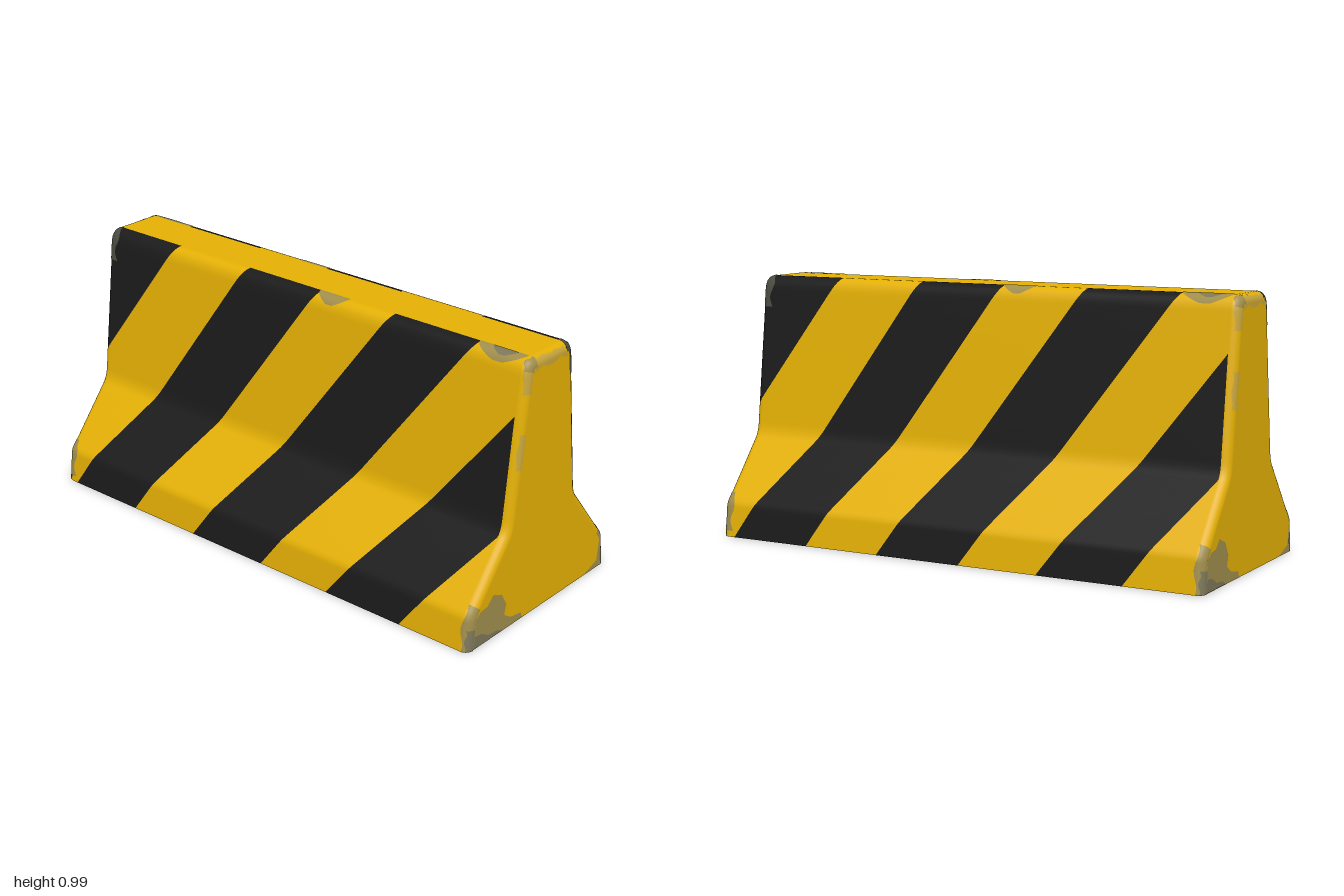
import * as THREE from 'three';

const mat = (name, color, side = THREE.FrontSide) => {
  const m = new THREE.MeshStandardMaterial({ color, side });
  m.name = name;
  return m;
};
const { lerp, clamp } = THREE.MathUtils;

const ROWS = 120, FLAT = 0.968, R = 0.032, UMAX = FLAT + R * Math.PI / 2;

// Half of the cross-section as (z, y), from the foot to the middle of the top
const profile = new THREE.Path();
profile.moveTo(0.42, 0);
profile.lineTo(0.408, 0.115);
profile.quadraticCurveTo(0.406, 0.132, 0.392, 0.148);
profile.lineTo(0.22, 0.36);
profile.quadraticCurveTo(0.205, 0.378, 0.2, 0.41);
profile.lineTo(0.137, 0.93);
profile.quadraticCurveTo(0.13, 0.985, 0.088, 0.985);
profile.lineTo(0, 0.985);

// Stripe edges along x at the foot and at the rim; black and yellow alternate
const FOOT = [-1.67, -1.33, -0.945, -0.612, -0.298, 0.051, 0.367, 0.703, 1.05];
const RIM = [-1.0, -0.645, -0.286, 0.067, 0.404, 0.773, 1.12, 1.43, 1.75];
const RIM_T = 0.926, TOP = 0.985;

// Point and normal on the skin: t runs up the profile, u along x and round the end bevels
function skin(t, u, lift = 0) {
  const p = profile.getPoint(t), g = profile.getTangent(t);
  const a = Math.max(0, Math.abs(u) - FLAT) / R, sx = Math.sign(u);
  const inset = R * (1 - Math.cos(a));
  const n = new THREE.Vector3(sx * Math.sin(a), -g.x * Math.cos(a), g.y * Math.cos(a));
  const x = a > 0 ? sx * (FLAT + R * Math.sin(a)) : u;
  const v = new THREE.Vector3(x, Math.max(0, p.y + g.x * inset), p.x - g.y * inset);
  return { v: v.addScaledVector(n, lift), n };
}

// Collects quads on the skin into one smooth geometry
class Patch {
  constructor() { this.pos = []; this.nor = []; }
  quad(t0, t1, a0, b0, a1, b1, lift) {
    if (b0 - a0 < 1e-6 && b1 - a1 < 1e-6) return;
    const c = [skin(t0, a0, lift), skin(t0, b0, lift), skin(t1, b1, lift), skin(t1, a1, lift)];
    for (const i of [0, 1, 2, 0, 2, 3]) {
      this.pos.push(...c[i].v.toArray());
      this.nor.push(...c[i].n.toArray());
    }
  }
  geometry() {
    const g = new THREE.BufferGeometry();
    g.setAttribute('position', new THREE.Float32BufferAttribute(this.pos, 3));
    g.setAttribute('normal', new THREE.Float32BufferAttribute(this.nor, 3));
    return g;
  }
}

// Splits one long side into yellow and black skin; the stripes run straight in x and y
function buildSide() {
  const yellow = new Patch(), black = new Patch();
  const bevel = [1, 2, 3, 4, 5].map(i => FLAT + (UMAX - FLAT) * i / 5);
  const breaks = [...bevel.map(b => -b).reverse(), -FLAT, FLAT, ...bevel];
  for (let j = 0; j < ROWS; j++) {
    const t0 = j / ROWS, t1 = (j + 1) / ROWS;
    const h0 = profile.getPoint(t0).y / TOP, h1 = profile.getPoint(t1).y / TOP;
    for (let i = 0; i + 1 < breaks.length; i++) {
      const a = breaks[i], b = breaks[i + 1];
      if (t1 > RIM_T || a < -1.01 || b > 0.975) {
        yellow.quad(t0, t1, a, b, a, b);
        continue;
      }
      for (let k = 0; k + 1 < FOOT.length; k++) {
        const edge = (e, h) => clamp(lerp(FOOT[e], RIM[e], h), a, b);
        const patch = k % 2 ? yellow : black;
        patch.quad(t0, t1, edge(k, h0), edge(k + 1, h0), edge(k, h1), edge(k + 1, h1));
      }
    }
  }
  return { yellow: yellow.geometry(), black: black.geometry() };
}

// Thin worn patches; an end patch has a wavy inner edge, a rim patch tapers downwards
function buildWear(lift, list) {
  const patch = new Patch(), N = 12, M = 8;
  for (const [u0, u1, t0, t1] of list) {
    const ends = f => {
      const w = u1 - u0, wave = w * (0.12 + 0.12 * Math.sin(f * 9 + u0 * 7));
      if (u1 === UMAX) return [u0 + wave, u1];
      if (u0 === -UMAX) return [u0, u1 - wave];
      const taper = w * 0.4 * (1 - f) ** 2;
      return [u0 + taper, u1 - taper];
    };
    for (let j = 0; j < M; j++) {
      const f0 = j / M, f1 = (j + 1) / M, e0 = ends(f0), e1 = ends(f1);
      for (let i = 0; i < N; i++) {
        patch.quad(lerp(t0, t1, f0), lerp(t0, t1, f1), lerp(...e0, i / N), lerp(...e0, (i + 1) / N),
          lerp(...e1, i / N), lerp(...e1, (i + 1) / N), lift);
      }
    }
  }
  return patch.geometry();
}

export function createModel() {
  const root = new THREE.Group();
  root.name = 'roadBarrier';
  const yellow = mat('yellow paint', 0xe4b004);
  const black = mat('black paint', 0x1b1b1b);
  const faded = mat('faded yellow', 0xc7a53c, THREE.DoubleSide);
  const worn = mat('worn paint', 0xa08e4c, THREE.DoubleSide);
  const grime = mat('bare concrete', 0x7c765a, THREE.DoubleSide);
  const grey = mat('scuffed black', 0x4a4c40, THREE.DoubleSide);

  const add = (parent, name, geo, material) => {
    const m = new THREE.Mesh(geo, material);
    m.name = name;
    parent.add(m);
    return m;
  };

  // Scuffs on the end face, drawn as (-z, y)
  const scuff = pts => new THREE.ShapeGeometry(
    new THREE.Shape(pts.map(p => new THREE.Vector2(...p)))).rotateY(Math.PI / 2);

  // Wear by tone: strips on the skin and scuffs on the end face
  const wear = [
    ['fadedPaint', faded, 0.0008, [
      [0.985, UMAX, 0.935, 1], [-UMAX, -0.99, 0.935, 1], [0.988, UMAX, 0.57, 0.68],
      [0.978, UMAX, 0.8, 0.935],
    ], [
      [[-0.104, 0.86], [-0.098, 0.93], [-0.05, 0.95], [-0.02, 0.935], [0.02, 0.935], [0.05, 0.95],
        [0.098, 0.93], [0.09, 0.952], [-0.09, 0.952]],
    ]],
    ['wornPaint', worn, 0.0014, [
      [0.965, UMAX, 0, 0.15], [-UMAX, -0.95, 0.02, 0.15],
      [0.77, 0.97, 0.875, 0.925], [0.06, 0.2, 0.88, 0.925], [0.97, UMAX, 0.87, 0.93],
    ], [
      [[-0.387, 0.002], [-0.1, 0.002], [-0.11, 0.025], [-0.17, 0.035], [-0.21, 0.06], [-0.2, 0.1],
        [-0.23, 0.15], [-0.28, 0.17], [-0.31, 0.14], [-0.35, 0.135], [-0.375, 0.115]],
      [[0.28, 0.002], [0.387, 0.002], [0.375, 0.11], [0.365, 0.03], [0.33, 0.018]],
    ]],
    ['bareConcrete', grime, 0.002, [
      [0.982, UMAX, 0, 0.07], [-UMAX, -0.985, 0, 0.06], [0.83, 0.93, 0.895, 0.924],
    ], [
      [[-0.386, 0.002], [-0.22, 0.002], [-0.25, 0.018], [-0.3, 0.022], [-0.34, 0.045], [-0.38, 0.05]],
    ]],
    ['scuffedCorner', grey, 0.0014, [[-UMAX, -0.945, 0.8, 0.925]], []],
  ].map(([name, material, lift, strips, ends]) => (
    { name, material, lift, skinGeo: buildWear(lift, strips), endGeos: ends.map(scuff) }));

  // End face: the profile drawn in by the bevel
  const half = [];
  for (let j = 0; j <= ROWS; j++) {
    const { v } = skin(j / ROWS, UMAX);
    half.push(new THREE.Vector2(v.z, v.y));
  }
  const mirrored = half.slice(0, -1).reverse().map(p => new THREE.Vector2(-p.x, p.y));
  const endGeo = new THREE.ShapeGeometry(new THREE.Shape([...half, ...mirrored])).rotateY(Math.PI / 2);

  // The two halves match under a half turn
  const side = buildSide();
  for (let h = 0; h < 2; h++) {
    const g = new THREE.Group();
    g.name = h ? 'backHalf' : 'frontHalf';
    g.rotation.y = h * Math.PI;
    root.add(g);
    add(g, 'yellowSkin', side.yellow, yellow);
    add(g, 'blackStripes', side.black, black);
    add(g, 'endFace', endGeo, yellow).position.x = 1;
    for (const w of wear) {
      add(g, w.name, w.skinGeo, w.material);
      for (const geo of w.endGeos) add(g, w.name + 'End', geo, w.material).position.x = 1 + w.lift;
    }
  }

  // Underside, with its corners rounded like the bevels
  const outline = [];
  for (const [sx, sz] of [[1, 1], [-1, 1], [-1, -1], [1, -1]]) {
    const corner = [];
    for (let i = 0; i <= 5; i++) {
      const { v } = skin(0, FLAT + (UMAX - FLAT) * i / 5);
      corner.push(new THREE.Vector2(sx * v.x, sz * v.z));
    }
    outline.push(...(sx * sz > 0 ? corner.reverse() : corner));
  }
  add(root, 'underside', new THREE.ShapeGeometry(new THREE.Shape(outline)).rotateX(Math.PI / 2), black);
  return root;
}
